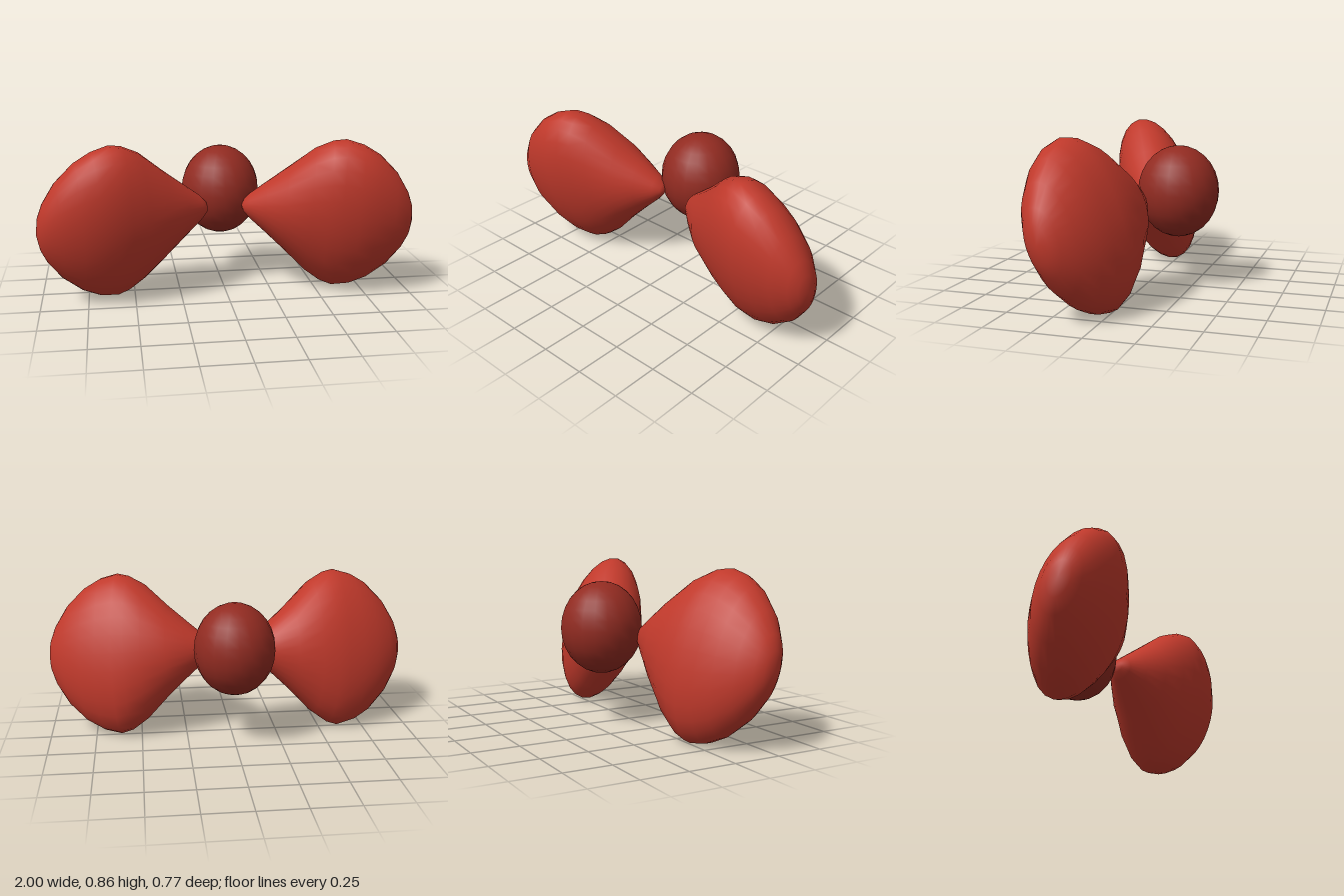
import * as THREE from 'three';
import { mergeVertices } from 'three/addons/utils/BufferGeometryUtils.js';

// Pear-shaped wing along its own axis: distance, half height, half depth, centre y, centre z
const SECTIONS = [
  [-0.465, 0, 0, 0.012, -0.02],
  [-0.453, 0.03, 0.038, 0.012, -0.02],
  [-0.42, 0.067, 0.07, 0.014, -0.02],
  [-0.33, 0.144, 0.123, 0.014, -0.02],
  [-0.22, 0.242, 0.18, 0.012, -0.02],
  [-0.09, 0.371, 0.209, 0.008, -0.017],
  [0, 0.428, 0.217, 0.002, -0.012],
  [0.066, 0.446, 0.218, 0, -0.006],
  [0.16, 0.424, 0.209, 0, 0],
  [0.25, 0.374, 0.188, 0, 0],
  [0.35, 0.278, 0.147, 0, 0],
  [0.42, 0.17, 0.095, 0, 0],
  [0.45, 0.095, 0.055, 0, 0],
  [0.465, 0, 0, 0, 0],
];
const SEGMENTS = 28;
const TILT = 0.288; // top of the wing tips forward
const YAW = 0.2; // outer end of the wing sweeps forward

// Loft of elliptical sections; side is +1 for left, -1 for right
function wingGeometry(side) {
  const positions = [], index = [];
  for (const [t, h, w, cy, cz] of SECTIONS) {
    for (let j = 0; j < SEGMENTS; j++) {
      const a = (j / SEGMENTS) * Math.PI * 2;
      positions.push(side * t, cy + h * Math.cos(a), cz + w * Math.sin(a));
    }
  }
  // The first and last sections are single points, so they get one triangle per step
  const last = SECTIONS.length - 2;
  for (let i = 0; i <= last; i++) {
    for (let j = 0; j < SEGMENTS; j++) {
      const k = (j + 1) % SEGMENTS;
      const a = i * SEGMENTS + j, b = i * SEGMENTS + k;
      const c = a + SEGMENTS, d = b + SEGMENTS;
      const tris = [];
      if (i > 0) tris.push([a, d, b]);
      if (i < last) tris.push([a, c, d]);
      for (const [p, q, r] of tris) side > 0 ? index.push(p, r, q) : index.push(p, q, r);
    }
  }
  const g = new THREE.BufferGeometry();
  g.setAttribute('position', new THREE.Float32BufferAttribute(positions, 3));
  g.setIndex(index);
  const merged = mergeVertices(g, 1e-5);
  merged.computeVertexNormals();
  return merged;
}

export function createModel() {
  const model = new THREE.Group();
  model.name = 'bowTie';
  const red = new THREE.MeshStandardMaterial({ color: 0xc0392b });
  red.name = 'red';
  const darkRed = new THREE.MeshStandardMaterial({ color: 0x922b21 });
  darkRed.name = 'dark red';

  // Two mirrored wings
  for (const [name, side] of [['leftWing', 1], ['rightWing', -1]]) {
    const wing = new THREE.Mesh(wingGeometry(side), red);
    wing.name = name;
    wing.position.set(side * 0.545, 0.433, 0.125);
    wing.rotation.set(TILT, -side * YAW, 0);
    model.add(wing);
  }

  // Central knot
  const knot = new THREE.Mesh(new THREE.SphereGeometry(1, 20, 14), darkRed);
  knot.name = 'knot';
  knot.scale.set(0.217, 0.248, 0.22);
  knot.position.set(0, 0.525, -0.17);
  model.add(knot);

  return model;
}
